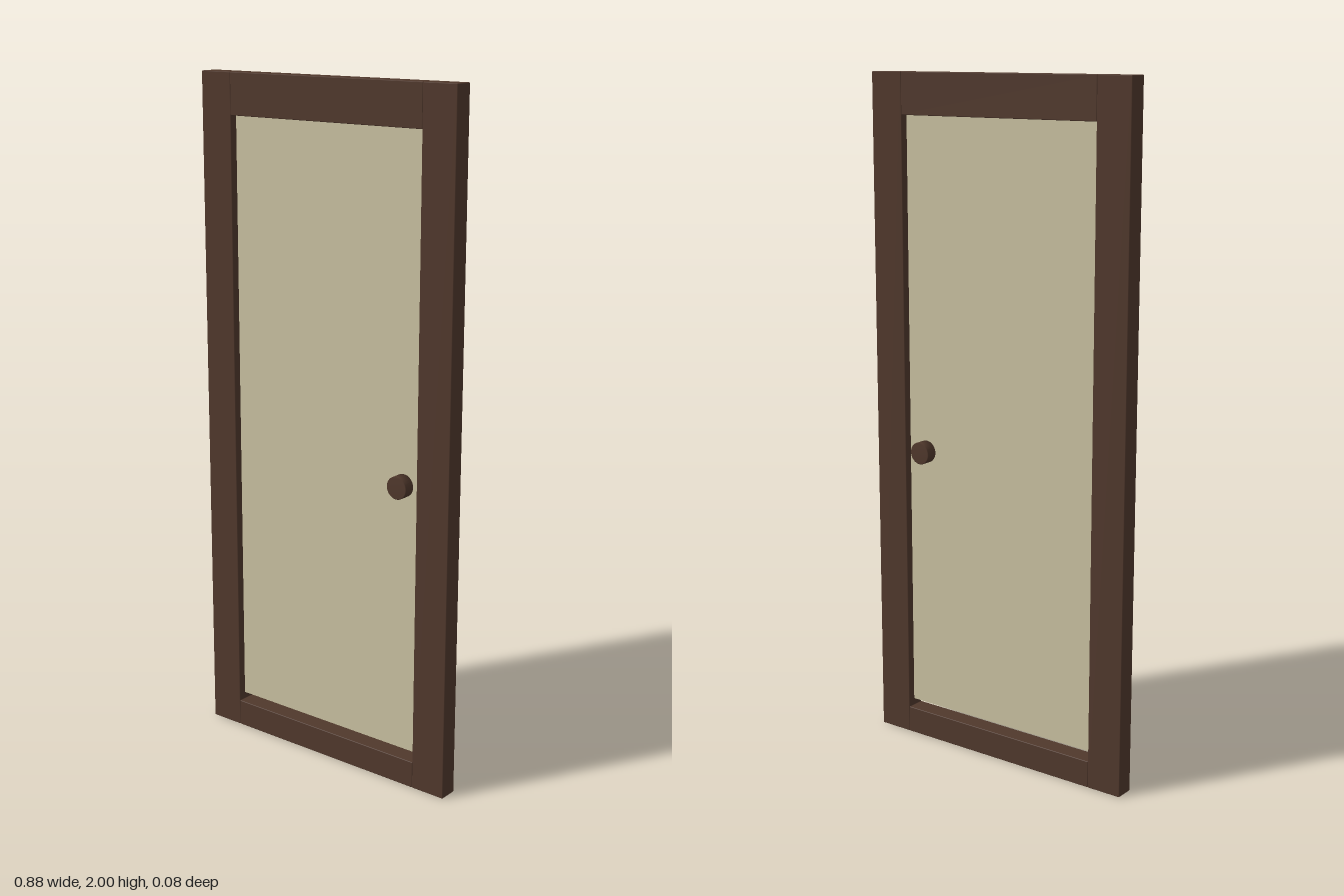
import * as THREE from 'three';
import { RoundedBoxGeometry } from 'three/addons/geometries/RoundedBoxGeometry.js';

export function createModel() {
  const group = new THREE.Group();
  const wood = new THREE.MeshStandardMaterial({ color: 0x50382c });
  wood.name = 'dark brown wood';
  const glass = new THREE.MeshStandardMaterial({ color: 0xc8c0a0 });
  glass.name = 'beige panel';

  const add = (name, geometry, material, x, y, z = 0) => {
    const mesh = new THREE.Mesh(geometry, material);
    mesh.name = name;
    mesh.position.set(x, y, z);
    group.add(mesh);
    return mesh;
  };

  const halfWidth = 0.438, inner = 0.331, depth = 0.057, edge = 0.002;
  const beam = (name, x0, x1, y0, y1) => add(
    name, new RoundedBoxGeometry(x1 - x0, y1 - y0, depth, 1, edge),
    wood, (x0 + x1) / 2, (y0 + y1) / 2);

  // Frame with softened edges
  beam('leftStile', inner, halfWidth, 0, 2);
  beam('rightStile', -halfWidth, -inner, 0, 2);
  beam('topRail', -inner, inner, 1.88, 2);
  beam('bottomRail', -inner, inner, 0, 0.08);

  // Thin panel, stopping just above the bottom rail
  add('panel', new THREE.BoxGeometry(inner * 2, 1.78, 0.01), glass, 0, 0.99);

  // Round pull with a small chamfer on each face of the panel
  const profile = [[0, 0.004], [0.033, 0.004], [0.033, 0.038], [0.031, 0.04], [0, 0.04]]
    .map(([r, h]) => new THREE.Vector2(r, h));
  for (const side of [1, -1]) {
    const geometry = new THREE.LatheGeometry(profile, 32);
    geometry.rotateX(side * Math.PI / 2);
    add(side > 0 ? 'frontPull' : 'backPull', geometry, wood, 0.27, 0.9);
  }
  return group;
}
